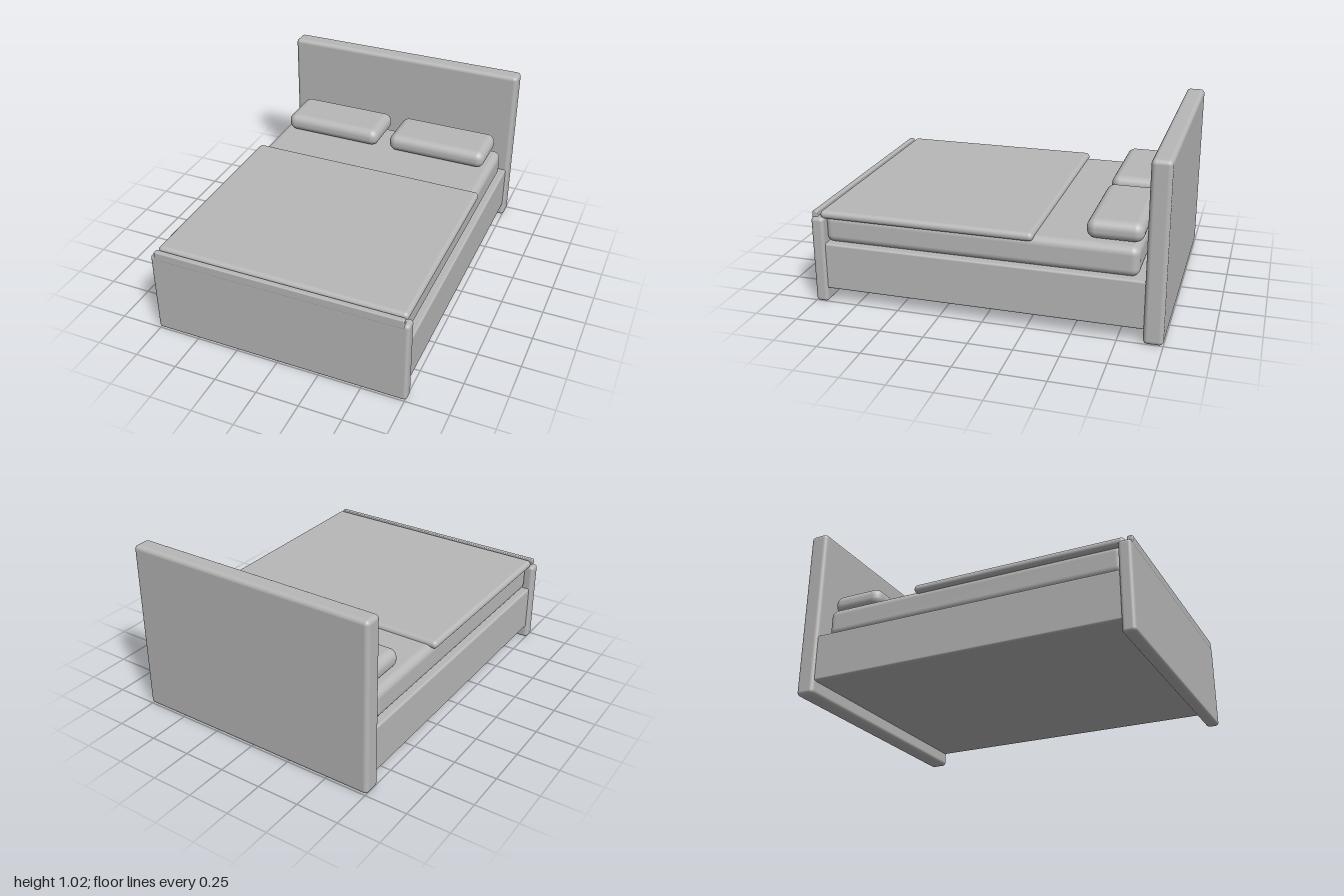
import * as THREE from 'three';
import { RoundedBoxGeometry } from 'three/addons/geometries/RoundedBoxGeometry.js';

export function createModel() {
  const bed = new THREE.Group();
  bed.name = 'bed';
  const grey = new THREE.MeshStandardMaterial({ color: 0xb8b8b8 });
  grey.name = 'plain grey';

  // Rounded block given by its extents on each axis
  function block(name, [x0, x1], [y0, y1], [z0, z1], radius) {
    const geometry = new RoundedBoxGeometry(x1 - x0, y1 - y0, z1 - z0, 4, radius);
    const mesh = new THREE.Mesh(geometry, grey);
    mesh.name = name;
    mesh.position.set((x0 + x1) / 2, (y0 + y1) / 2, (z0 + z1) / 2);
    bed.add(mesh);
  }

  // Frame
  block('headboard', [-0.76, 0.76], [0, 1.025], [-1, -0.89], 0.025);
  block('footboard', [-0.76, 0.76], [0, 0.513], [0.925, 0.999], 0.02);
  block('bedBase', [-0.745, 0.745], [0.08, 0.357], [-0.91, 0.945], 0.012);

  // Bedding
  block('mattress', [-0.714, 0.714], [0.352, 0.523], [-0.85, 0.94], 0.045);
  block('blanket', [-0.735, 0.735], [0.5, 0.549], [-0.28, 0.955], 0.024);
  block('blanketFold', [-0.732, 0.732], [0.49, 0.543], [0.968, 1], 0.006);

  // Pillows, mirrored left and right
  block('leftPillow', [0.04, 0.67], [0.525, 0.635], [-0.86, -0.55], 0.05);
  block('rightPillow', [-0.67, -0.04], [0.525, 0.635], [-0.86, -0.55], 0.05);

  return bed;
}
